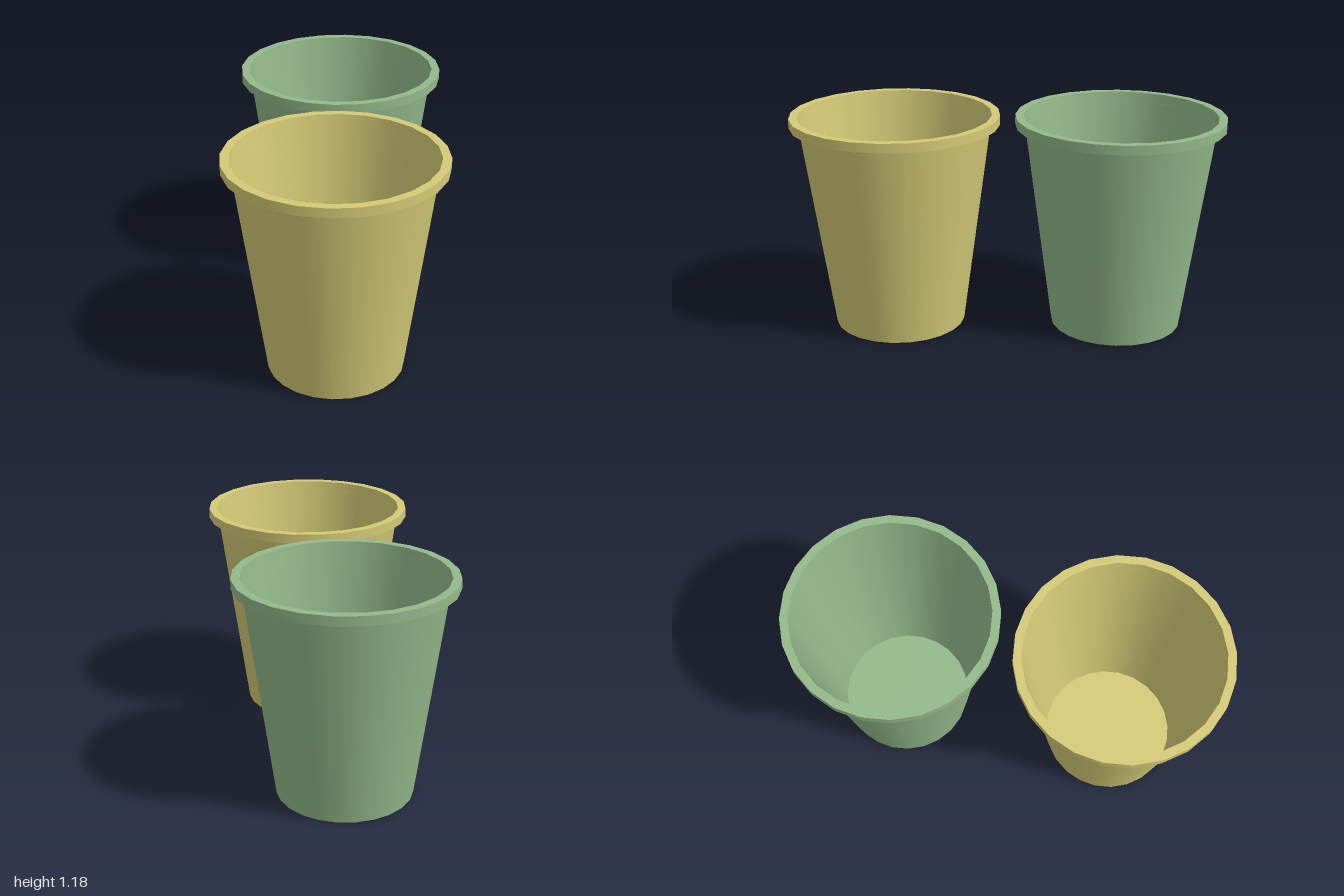
import * as THREE from 'three';
import { mergeGeometries } from 'three/addons/utils/BufferGeometryUtils.js';

const SIDES = 24;
const HEIGHT = 1.176, RIM_HEIGHT = 0.05;
const BASE_R = 0.357, TOP_R = 0.518, RIM_R = 0.562;

// Flat lip: outer band, top ring and underside ring, each with its own normals
function rimGeometry() {
  const band = new THREE.CylinderGeometry(RIM_R, RIM_R, RIM_HEIGHT, SIDES, 1, true);
  const top = new THREE.RingGeometry(TOP_R, RIM_R, SIDES, 1);
  top.rotateX(-Math.PI / 2).translate(0, RIM_HEIGHT / 2, 0);
  const underside = new THREE.RingGeometry(TOP_R - 0.007, RIM_R, SIDES, 1);
  underside.rotateX(Math.PI / 2).translate(0, -RIM_HEIGHT / 2, 0);
  return mergeGeometries([band, top, underside]);
}

function createCup(name, material) {
  const cup = new THREE.Group();
  cup.name = name;
  const add = (part, geometry, y) => {
    const mesh = new THREE.Mesh(geometry, material);
    mesh.name = part;
    mesh.position.y = y;
    cup.add(mesh);
  };
  // Thin tapered wall, seen from inside and outside
  add('wall', new THREE.CylinderGeometry(TOP_R, BASE_R, HEIGHT, SIDES, 1, true), HEIGHT / 2);
  add('floor', new THREE.CircleGeometry(BASE_R, SIDES).rotateX(-Math.PI / 2), 0);
  add('rim', rimGeometry(), HEIGHT - RIM_HEIGHT / 2);
  return cup;
}

export function createModel() {
  const model = new THREE.Group();
  model.name = 'cups';
  const material = (name, color) => {
    const m = new THREE.MeshStandardMaterial({ color, side: THREE.DoubleSide });
    m.name = name;
    return m;
  };
  // Two identical cups set on a diagonal
  const yellowCup = createCup('yellowCup', material('softYellow', 0xd4ca76));
  yellowCup.position.set(0.438, 0, 0.412);
  const greenCup = createCup('greenCup', material('softGreen', 0x94b98b));
  greenCup.position.set(-0.438, 0, -0.412);
  model.add(yellowCup, greenCup);
  return model;
}
